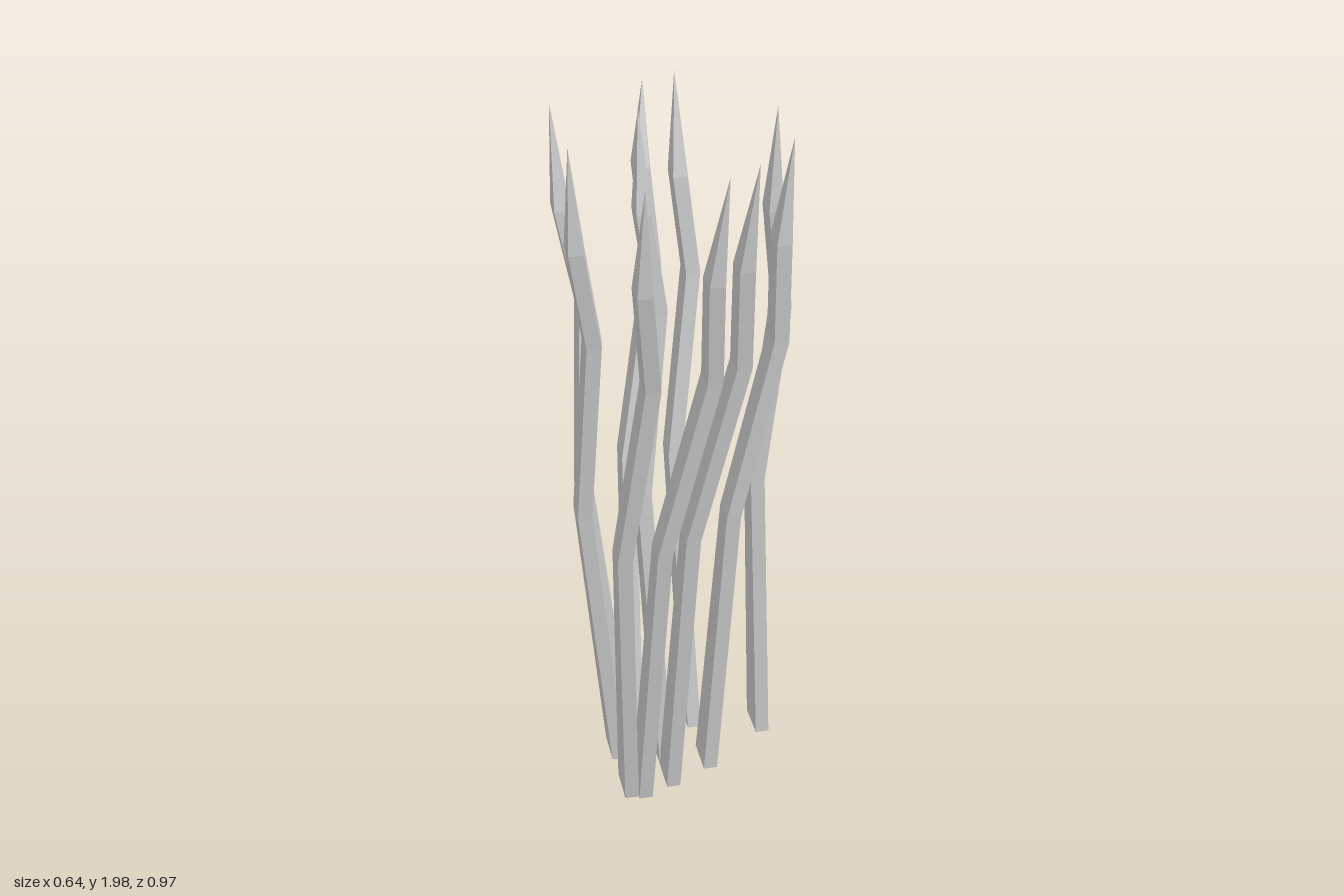
import * as THREE from 'three';

const LEVELS = [0.02, 0.91, 1.44, 1.72];   // heights of the bends
const DEPTH = [0.115, 0.082, 0.08, 0.075]; // blade depth (z) at each bend
const HALF = 0.02, BULGE = 0.008;          // half thickness and side ridge

// Each blade: [x, z] at the four bends, then at the tip
const BLADES = [
  [[-0.13, -0.05], [-0.105, -0.24], [0.0, -0.37], [-0.02, -0.425], [0.0, -0.485]],
  [[0.06, -0.105], [0.03, -0.225], [0.1, -0.31], [0.07, -0.342], [0.07, -0.385]],
  [[0.26, -0.04], [0.23, -0.035], [0.295, -0.04], [0.265, -0.035], [0.27, -0.03]],
  [[0.065, 0.1], [0.115, 0.155], [0.232, 0.172], [0.227, 0.193], [0.25, 0.21]],
  [[-0.06, 0.16], [-0.02, 0.255], [0.1, 0.305], [0.095, 0.34], [0.12, 0.38]],
  [[-0.15, 0.195], [-0.11, 0.315], [0.01, 0.367], [0.003, 0.41], [0.03, 0.45]],
  [[-0.19, 0.185], [-0.22, 0.325], [-0.153, 0.388], [-0.18, 0.44], [-0.18, 0.488]],
  [[-0.195, 0.0], [-0.285, 0.07], [-0.255, 0.113], [-0.3, 0.15], [-0.312, 0.175]],
  [[-0.165, 0.005], [-0.262, -0.06], [-0.235, -0.135], [-0.29, -0.15], [-0.305, -0.178]],
  [[-0.06, 0.055], [-0.105, -0.002], [-0.045, -0.062], [-0.083, -0.08], [-0.085, -0.105]],
];

// Five-sided section, wound so that side faces point outwards
function section([x, z], y, depth) {
  const d = depth / 2;
  return [
    [x - HALF, y, z - d], [x - HALF, y, z + d], [x + HALF, y, z + d],
    [x + HALF + BULGE, y, z], [x + HALF, y, z - d],
  ];
}

function bladeGeometry(path, tipY) {
  const rings = LEVELS.map((y, i) => section(path[i], y, DEPTH[i]));
  const tip = [path[4][0], tipY, path[4][1]];
  const pos = [];
  const tri = (a, b, c) => pos.push(...a, ...b, ...c);
  for (let k = 0; k < 5; k++) {
    const n = (k + 1) % 5;
    // stem sides
    for (let i = 0; i < 3; i++) {
      const a = rings[i], b = rings[i + 1];
      tri(a[k], a[n], b[n]);
      tri(a[k], b[n], b[k]);
    }
    // pointed end
    tri(rings[3][k], rings[3][n], tip);
    // foot
    if (k > 0 && k < 4) tri(rings[0][0], rings[0][n], rings[0][k]);
  }
  const g = new THREE.BufferGeometry();
  g.setAttribute('position', new THREE.Float32BufferAttribute(pos, 3));
  g.computeVertexNormals();
  return g;
}

export function createModel() {
  const group = new THREE.Group();
  group.name = 'grassTuft';
  const material = new THREE.MeshStandardMaterial({
    color: 0xcccccc, flatShading: true, side: THREE.DoubleSide,
  });
  BLADES.forEach((path, i) => {
    // the rearmost blade leans most and ends a little lower
    const blade = new THREE.Mesh(bladeGeometry(path, i === 0 ? 1.95 : 2), material);
    blade.name = `grassBlade${i + 1}`;
    group.add(blade);
  });
  return group;
}
